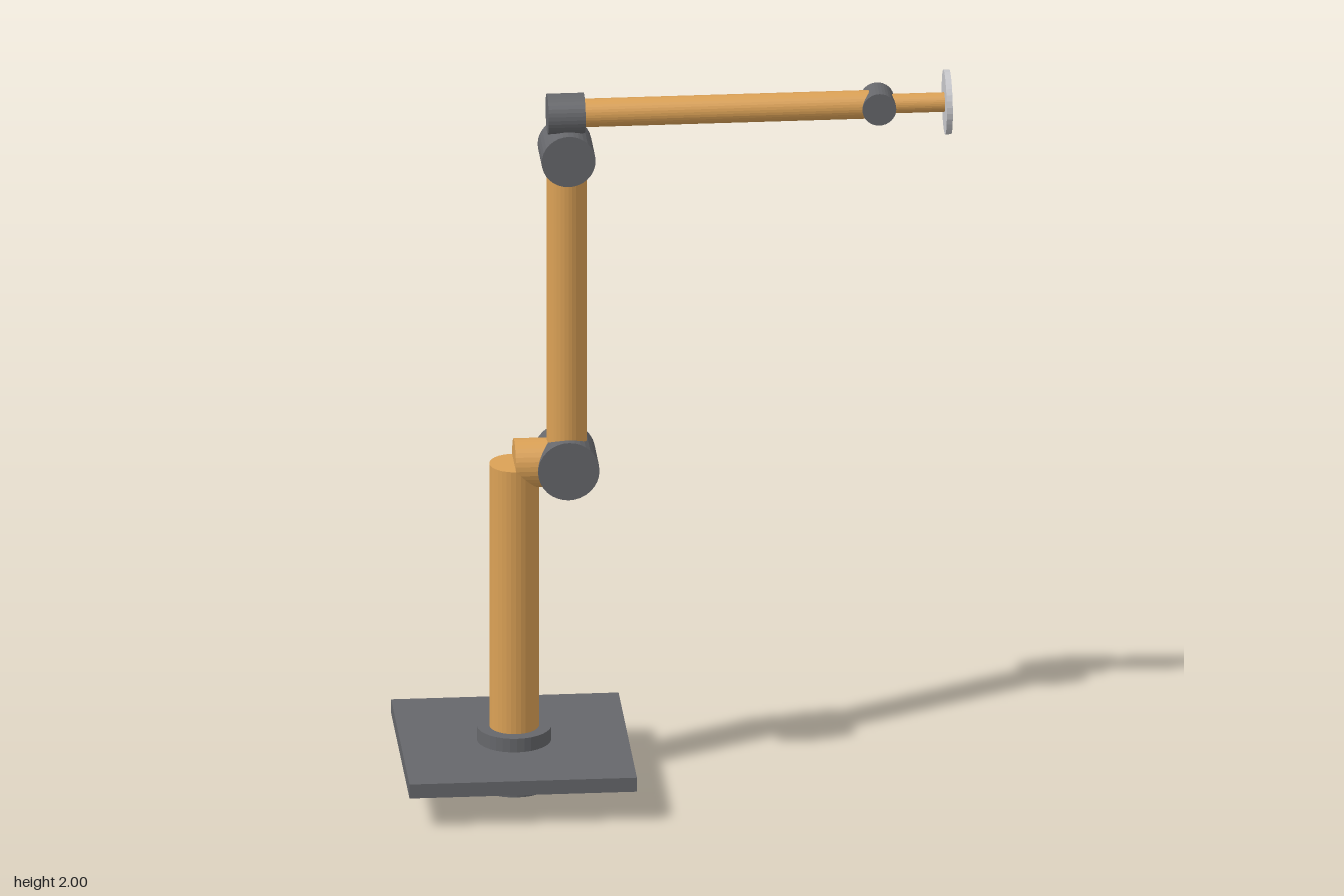
import * as THREE from 'three';

export function createModel() {
  const group = new THREE.Group();
  const mat = (name, color) => {
    const m = new THREE.MeshStandardMaterial({ color, flatShading: true });
    m.name = name;
    return m;
  };
  const dark = mat('dark grey', 0x66676b);
  const tan = mat('warm tan', 0xdba156);
  const steel = mat('light steel', 0xc8c8cc);

  // Cylinder between two points
  const rod = (name, material, radius, from, to) => {
    const a = new THREE.Vector3(...from);
    const b = new THREE.Vector3(...to);
    const dir = b.clone().sub(a);
    const mesh = new THREE.Mesh(new THREE.CylinderGeometry(radius, radius, dir.length(), 32), material);
    mesh.position.copy(a).add(b).multiplyScalar(0.5);
    mesh.quaternion.setFromUnitVectors(new THREE.Vector3(0, 1, 0), dir.normalize());
    mesh.name = name;
    group.add(mesh);
  };
  // Hinge drum lying along z
  const joint = (name, x, y, radius, half) => rod(name, dark, radius, [x, y, -half], [x, y, half]);

  const baseX = -0.43, armX = -0.29, wristX = 0.54;
  const elbowY = 0.918, shoulderY = 1.803, headY = 1.915;

  // Base
  const plate = new THREE.Mesh(new THREE.BoxGeometry(0.606, 0.04, 0.606), dark);
  plate.position.set(baseX, 0.109, 0);
  plate.name = 'basePlate';
  group.add(plate);
  rod('baseDrum', dark, 0.099, [baseX, 0, 0], [baseX, 0.168, 0]);

  // Arm links
  rod('lowerArm', tan, 0.066, [baseX, 0.168, 0], [baseX, elbowY, 0]);
  rod('elbowStub', tan, 0.066, [baseX, elbowY, 0], [armX, elbowY, 0]);
  rod('upperArm', tan, 0.054, [armX, elbowY, 0], [armX, shoulderY, 0]);
  rod('forearm', tan, 0.038, [armX, headY, 0], [wristX, headY, 0]);
  rod('wristLink', tan, 0.026, [wristX, headY, 0], [0.724, headY, 0]);

  // Joints
  joint('elbowJoint', armX, elbowY, 0.082, 0.073);
  joint('upperJoint', armX, shoulderY, 0.072, 0.068);
  rod('forearmRollJoint', dark, 0.054, [-0.342, headY, 0], [-0.243, headY, 0]);
  joint('wristJoint', wristX, headY, 0.045, 0.042);

  // Tool flange
  rod('toolFlange', steel, 0.086, [0.716, headY, 0], [0.732, headY, 0]);

  return group;
}
